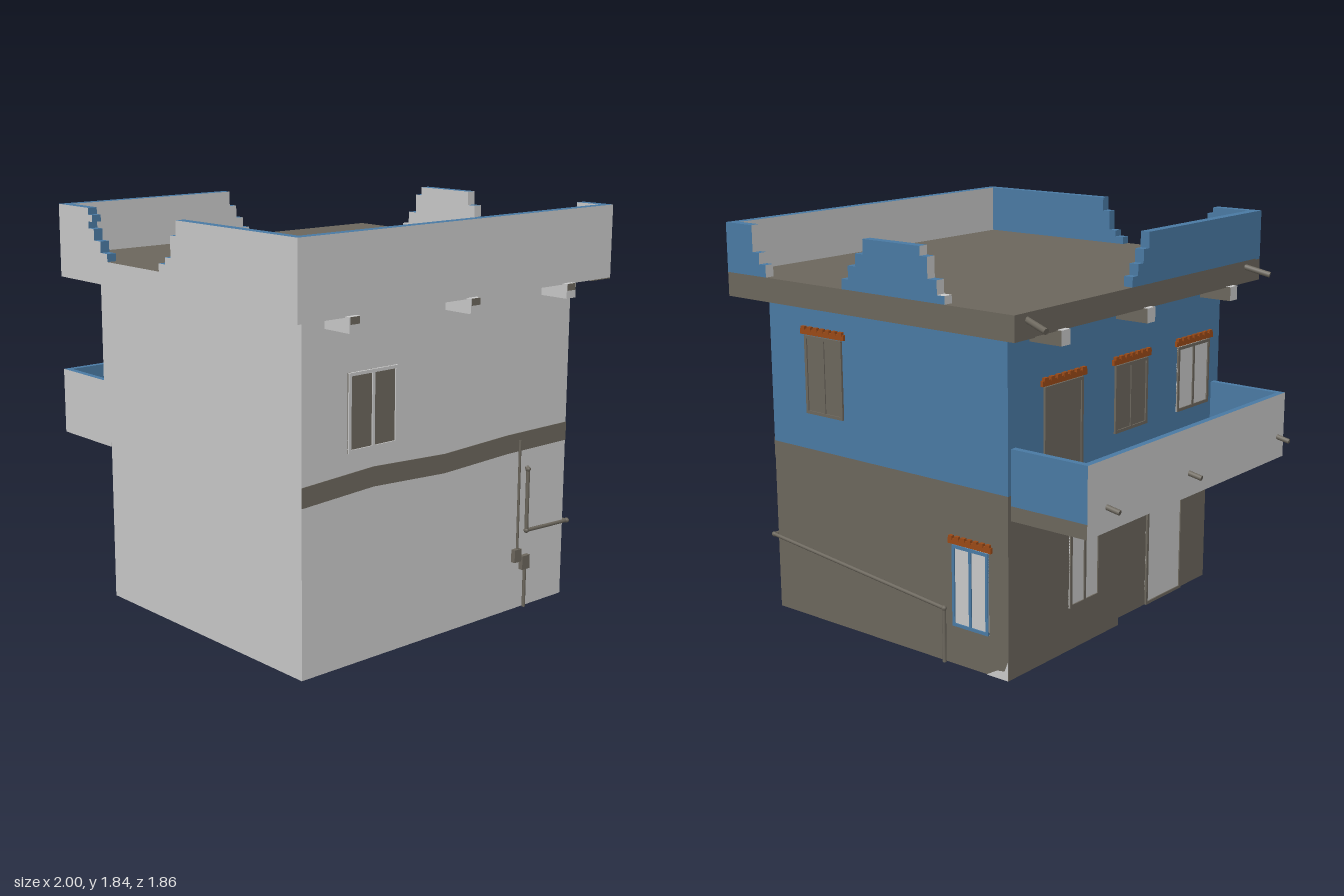
import * as THREE from 'three';

const mat = (name, hex) => {
  const m = new THREE.MeshStandardMaterial({ color: hex });
  m.name = name;
  return m;
};

export function createModel() {
  const white = mat('plaster', 0xc9c9c9);
  const brown = mat('mudBrown', 0x6c675d);
  const blue = mat('paintBlue', 0x4a7aa4);
  const rust = mat('clayTile', 0x9a4a17);
  const root = new THREE.Group();
  root.name = 'house';

  // Box from its limits; m is one material or six in the order +x -x +y -y +z -z
  function box(name, x0, x1, y0, y1, z0, z1, m, parent = root) {
    const mesh = new THREE.Mesh(new THREE.BoxGeometry(x1 - x0, y1 - y0, z1 - z0), m);
    mesh.position.set((x0 + x1) / 2, (y0 + y1) / 2, (z0 + z1) / 2);
    mesh.name = name;
    parent.add(mesh);
    return mesh;
  }

  // Chain of round pipes through points
  function pipe(name, radius, points, m = brown) {
    const g = new THREE.Group();
    g.name = name;
    const pts = points.map(p => new THREE.Vector3(...p));
    for (let i = 0; i < pts.length - 1; i++) {
      const dir = pts[i + 1].clone().sub(pts[i]);
      const rod = new THREE.Mesh(new THREE.CylinderGeometry(radius, radius, dir.length(), 8), m);
      rod.position.copy(pts[i]).addScaledVector(dir, 0.5);
      rod.quaternion.setFromUnitVectors(new THREE.Vector3(0, 1, 0), dir.normalize());
      g.add(rod);
      if (i > 0) {
        const joint = new THREE.Mesh(new THREE.SphereGeometry(radius * 1.4, 8, 6), m);
        joint.position.copy(pts[i]);
        g.add(joint);
      }
    }
    root.add(g);
  }

  // Window or door on a wall: pane, frame bars, mullion and optional tiled lintel
  function opening(name, x, z, turn, w, y0, y1, frame, pane, lintel, mullion = true) {
    const g = new THREE.Group();
    g.name = name;
    const h = w / 2, t = 0.014;
    box('pane', -h, h, y0, y1, 0, 0.004, pane, g);
    for (const s of [-1, 1]) {
      const e = s * (h - t / 2);
      box('frameSide', e - t / 2, e + t / 2, y0, y1, 0, 0.01, frame, g);
    }
    box('frameTop', -h, h, y1 - t, y1, 0, 0.01, frame, g);
    box('frameSill', -h, h, y0, y0 + t, 0, 0.01, frame, g);
    if (mullion) box('mullion', -0.007, 0.007, y0, y1, 0, 0.009, frame, g);
    if (lintel) {
      const lw = w + 0.04, n = 7;
      box('lintel', -lw / 2, lw / 2, y1 + 0.005, y1 + 0.03, 0, 0.013, rust, g);
      for (let i = 0; i < n; i++) {
        const c = -lw / 2 + (i + 0.5) * lw / n;
        box('lintelTile', c - lw / n * 0.3, c + lw / n * 0.3, y1 + 0.024, y1 + 0.042, 0, 0.016, rust, g);
      }
    }
    g.position.set(x, 0, z);
    g.rotation.y = turn;
    root.add(g);
  }

  // Ground floor: thin walls, open below, with a step in the left wall
  const T = 0.01;
  box('frontWallBlueLining', 0.15, 0.85, 0, 0.75, 0.81 - T, 0.81, [white, white, white, white, white, blue]);
  box('frontWall', -0.5, 0.15, 0, 0.75, 0.81 - T, 0.81, [white, brown, white, white, white, brown]);
  box('rightWall', 0.85 - T, 0.85, 0, 0.75, -0.8, 0.81 - T, [white, white, white, white, white, brown]);
  box('backWall', -0.55, 0.85 - T, 0, 0.75, -0.8, -0.8 + T, [white, brown, white, white, white, brown]);
  box('leftWallBack', -0.55, -0.55 + T, 0, 0.75, -0.8 + T, 0, [white, brown, white, white, white, brown]);
  box('leftWallStep', -0.55, -0.5 + T, 0, 0.75, -T, 0.002, [white, brown, white, white, white, brown]);
  box('leftWallFront', -0.5, -0.5 + T, 0, 0.75, 0, 0.81 - T, [white, brown, white, white, white, white]);

  // Upper floor, with the brown paint continuing a little above the ceiling line
  box('upperFloorBase', -0.55, 0.85, 0.745, 0.82, -0.8, 0.81, [white, brown, white, white, white, brown]);
  box('upperFloor', -0.55, 0.85, 0.82, 1.52, -0.8, 0.81, [white, blue, white, white, white, blue]);

  // Wavy painted band on the right wall (z, lower edge)
  const band = [[0.81, 0.735], [0.42, 0.755], [0, 0.735], [-0.4, 0.75], [-0.8, 0.75]];
  const bandShape = new THREE.Shape([
    ...band.map(([z, y]) => new THREE.Vector2(-z, y)),
    ...band.slice().reverse().map(([z, y]) => new THREE.Vector2(-z, y + 0.086)),
  ]);
  const bandGeo = new THREE.ExtrudeGeometry(bandShape, { depth: 0.003, bevelEnabled: false });
  const bandMesh = new THREE.Mesh(bandGeo.rotateY(Math.PI / 2), brown);
  bandMesh.position.x = 0.85;
  bandMesh.name = 'paintedBand';
  root.add(bandMesh);

  // Bare plaster patch at the back corner
  const patchShape = new THREE.Shape([[0.55, 0], [0.55, 0.09], [0.53, 0.04], [0.49, 0.035], [0.43, 0]]
    .map(p => new THREE.Vector2(...p)));
  const patch = new THREE.Mesh(new THREE.ShapeGeometry(patchShape), white);
  patch.rotation.y = Math.PI;
  patch.position.z = -0.803;
  patch.name = 'barePatch';
  root.add(patch);

  // Roof slab
  box('roofSlab', -0.69, 0.97, 1.51, 1.615, -0.93, 0.93, [white, brown, brown, white, white, brown]);
  box('backEaveSoffit', -0.69, 0.97, 1.506, 1.51, -0.93, -0.8, brown);

  // Broken parapet, built in columns of stepped height: [from, to, top]
  const P = 0.045, H = 1.84, B = 1.61;
  box('parapetRight', 0.97 - P, 0.97, B, H, -0.93, 0.93, [white, white, blue, white, white, blue]);
  const frontRuns = [[-0.69, -0.45, H], [-0.45, -0.41, 1.75], [-0.41, -0.36, 1.7], [-0.36, -0.31, 1.65],
    [0.075, 0.12, 1.65], [0.12, 0.16, 1.68], [0.16, 0.2, 1.775], [0.2, 0.97 - P, H]];
  for (const [a, b, top] of frontRuns)
    box('parapetFront', a, b, B, top, 0.93 - P, 0.93, [blue, blue, blue, white, white, blue]);
  box('brokenBrick', -0.45, -0.42, 1.78, 1.81, 0.93 - P, 0.93, [blue, blue, blue, white, white, blue]);
  const backRuns = [[-0.33, -0.29, 1.65], [-0.29, -0.24, 1.71], [-0.24, -0.2, 1.8], [-0.2, 0.12, H],
    [0.12, 0.165, 1.775], [0.165, 0.21, 1.72], [0.21, 0.25, 1.66],
    [0.72, 0.76, 1.67], [0.76, 0.8, 1.72], [0.8, 0.97 - P, H]];
  backRuns.forEach(([a, b, top], i) =>
    box('parapetBack', a, b, B, top, -0.93, -0.93 + P, [white, white, i ? blue : white, white, white, blue]));
  const leftRuns = [[-0.13, -0.09, 1.66], [-0.09, -0.05, 1.71], [-0.05, -0.01, 1.77], [-0.01, 0.93 - P, H]];
  for (const [a, b, top] of leftRuns)
    box('parapetLeft', -0.69, -0.69 + P, B, top, a, b, [white, blue, blue, white, white, blue]);

  // Beam ends under the eaves
  for (const z of [0.66, -0.02, -0.63]) {
    for (const s of [-1, 1]) {
      const x0 = s > 0 ? 0.85 : -0.715, x1 = s > 0 ? 0.995 : -0.55;
      box('beamEnd', x0, x1, 1.45, 1.515, z - 0.03, z + 0.03, [white, white, white, white, white, brown]);
    }
    box('beamEndNotch', 0.995, 0.997, 1.485, 1.515, z - 0.025, z + 0.025, brown);
  }

  // Balcony: slab and three low walls
  box('balconySlab', -0.94, -0.55, 0.71, 0.775, -0.78, 0.78, [white, white, brown, white, white, brown]);
  box('balconyRail', -0.94, -0.91, 0.775, 1.02, -0.78, 0.78, [blue, white, blue, white, white, blue]);
  box('balconyEndBack', -0.91, -0.55, 0.775, 1.02, -0.78, -0.75, [blue, white, blue, white, blue, blue]);
  box('balconyEndFront', -0.91, -0.55, 0.775, 1.02, 0.75, 0.78, [blue, white, blue, white, white, blue]);

  // Drain spouts
  for (const z of [-0.64, -0.03, 0.73])
    pipe('balconySpout', 0.012, [[-1, 0.802, z], [-0.9, 0.825, z - 0.01]]);
  pipe('roofSpoutBack', 0.014, [[-0.8, 1.555, -0.87], [-0.67, 1.59, -0.845]]);
  pipe('roofSpoutFront', 0.014, [[-0.8, 1.555, 0.84], [-0.67, 1.59, 0.8]]);

  // Windows and doors
  const R = Math.PI / 2;
  opening('rightWindow', 0.85, 0.428, R, 0.275, 0.92, 1.255, white, brown, false);
  opening('backUpperWindow', 0.505, -0.8, Math.PI, 0.23, 0.99, 1.35, brown, brown, true);
  opening('backLowerWindow', -0.345, -0.8, Math.PI, 0.2, 0.18, 0.55, blue, white, true);
  opening('balconyDoor', -0.55, -0.43, -R, 0.27, 0.775, 1.24, brown, brown, true, false);
  opening('balconyWindow', -0.55, 0.07, -R, 0.25, 0.93, 1.24, brown, brown, true);
  opening('balconyWindow', -0.55, 0.58, -R, 0.27, 0.93, 1.24, brown, white, true);
  opening('leftLowerWindow', -0.55, -0.27, -R, 0.22, 0.2, 0.56, brown, white, true);
  opening('leftLowerWindowInside', -0.54, -0.27, R, 0.22, 0.2, 0.56, brown, blue, false, false);
  opening('entranceDoor', -0.5, 0.44, -R, 0.3, 0, 0.55, brown, white, true, false);
  opening('entranceDoorInside', -0.49, 0.44, R, 0.3, 0, 0.55, brown, white, true, false);

  // Pipes and meter boxes on the right and back walls
  pipe('cable', 0.006, [[0.858, 0.8, -0.48], [0.858, 0.28, -0.48]]);
  box('meterBox', 0.85, 0.872, 0.23, 0.29, -0.495, -0.45, brown);
  box('junctionBox', 0.85, 0.872, 0.185, 0.25, -0.553, -0.503, brown);
  pipe('groundPipe', 0.008, [[0.862, 0.19, -0.53], [0.862, 0, -0.53]]);
  pipe('waterPipe', 0.009, [[0.855, 0.67, -0.53], [0.866, 0.66, -0.53], [0.866, 0.37, -0.53],
    [0.866, 0.36, -0.813], [-0.2, 0.25, -0.813], [-0.2, 0, -0.813]]);

  return root;
}
